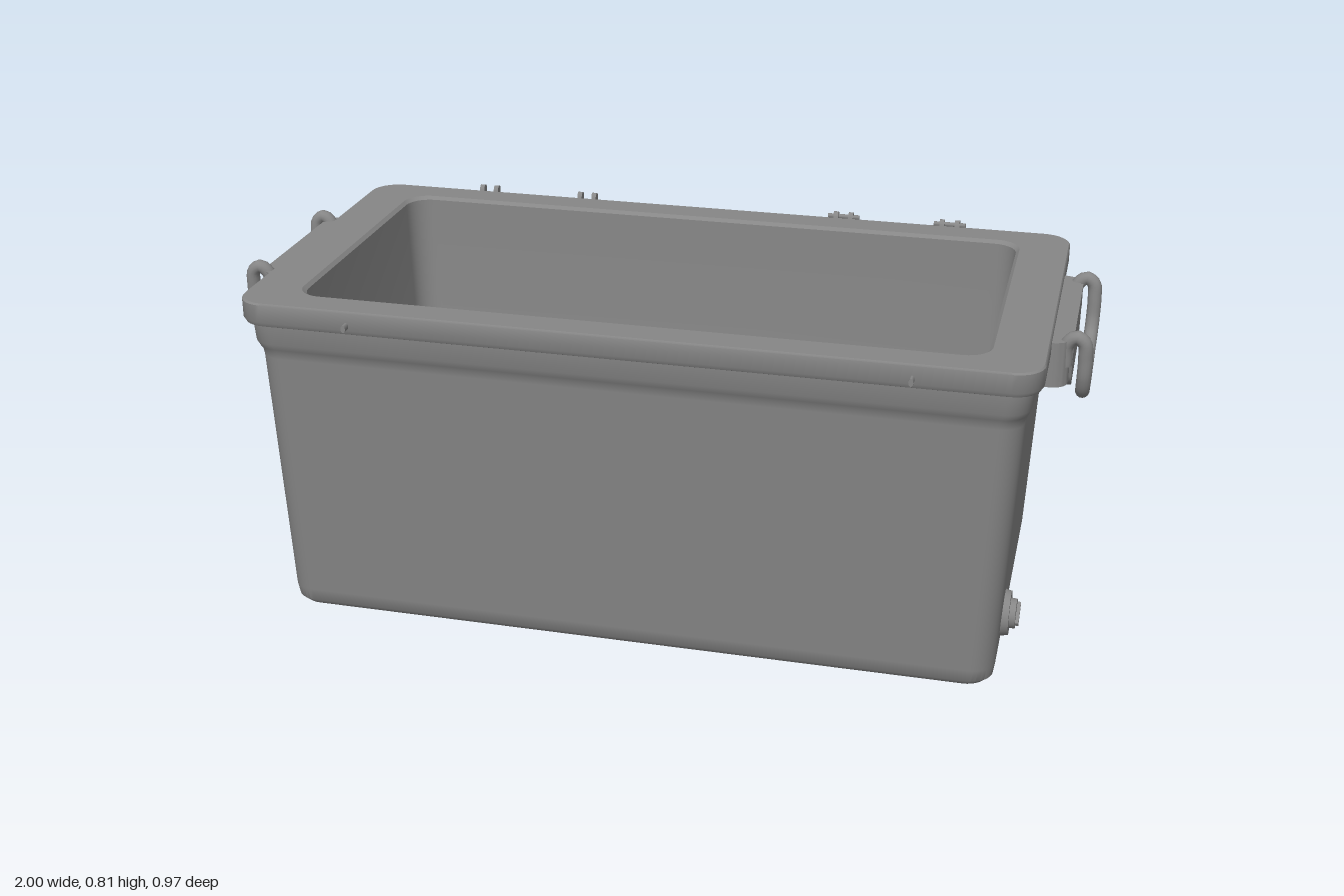
import * as THREE from 'three';
import { toCreasedNormals } from 'three/addons/utils/BufferGeometryUtils.js';

const material = new THREE.MeshStandardMaterial({ color: 0x868686 });

function mesh(name, geometry, parent, x = 0, y = 0, z = 0) {
  const m = new THREE.Mesh(geometry, material);
  m.name = name;
  m.position.set(x, y, z);
  parent.add(m);
  return m;
}

// Points of a rounded rectangle at one height
function ring([y, hx, hz, r], steps = 8) {
  const points = [];
  for (let corner = 0; corner < 4; corner++) {
    const sx = corner === 0 || corner === 3 ? 1 : -1;
    const sz = corner < 2 ? 1 : -1;
    for (let i = 0; i <= steps; i++) {
      const a = (corner + i / steps) * Math.PI / 2;
      points.push([sx * (hx - r) + r * Math.cos(a), y, sz * (hz - r) + r * Math.sin(a)]);
    }
  }
  return points;
}

// Skin through the rings, closed by a fan at both ends
function loft(sections) {
  const rings = sections.map((s) => ring(s));
  const n = rings[0].length;
  const centre = (y) => Array.from({ length: n }, () => [0, y, 0]);
  rings.unshift(centre(sections[0][0]));
  rings.push(centre(sections[sections.length - 1][0]));
  const index = [];
  for (let i = 0; i < rings.length - 1; i++) {
    for (let j = 0; j < n; j++) {
      const a = i * n + j, b = i * n + (j + 1) % n;
      if (i > 0) index.push(a, a + n, b);
      if (i < rings.length - 2) index.push(b, a + n, b + n);
    }
  }
  const g = new THREE.BufferGeometry();
  g.setAttribute('position', new THREE.Float32BufferAttribute(rings.flat(2), 3));
  g.setIndex(index);
  return toCreasedNormals(g, 0.65);
}

// Cylinder lying along x
function disc(r1, r2, length, sides = 40) {
  return new THREE.CylinderGeometry(r1, r2, length, sides).rotateZ(-Math.PI / 2);
}

function carryHandle() {
  const group = new THREE.Group();
  group.name = 'carryHandle';
  // Mounting block with rounded outer corners, seen in plan
  const plan = new THREE.Shape();
  plan.moveTo(0.86, -0.22);
  plan.lineTo(0.915, -0.22);
  plan.quadraticCurveTo(0.95, -0.215, 0.95, -0.18);
  plan.lineTo(0.95, 0.18);
  plan.quadraticCurveTo(0.95, 0.215, 0.915, 0.22);
  plan.lineTo(0.86, 0.22);
  const block = new THREE.ExtrudeGeometry(plan, { depth: 0.105, bevelEnabled: false, curveSegments: 8 });
  block.rotateX(-Math.PI / 2);
  mesh('handleBracket', toCreasedNormals(block, 0.5), group, 0, 0.675, 0);
  // Thin plate hanging in front of the block, inside the bar
  const outline = new THREE.Shape();
  outline.moveTo(-0.17, 0.78);
  outline.lineTo(-0.165, 0.69);
  outline.quadraticCurveTo(-0.155, 0.65, -0.115, 0.645);
  outline.lineTo(0.115, 0.645);
  outline.quadraticCurveTo(0.155, 0.65, 0.165, 0.69);
  outline.lineTo(0.17, 0.78);
  const plate = new THREE.ExtrudeGeometry(outline, { depth: 0.018, bevelEnabled: false, curveSegments: 8 });
  plate.rotateY(Math.PI / 2);
  mesh('handlePlate', toCreasedNormals(plate, 0.5), group, 0.938, 0, 0);
  // Bent bar: hooks over the block, drops and crosses
  const half = [
    [0.94, 0.72, 0.19], [0.942, 0.77, 0.192], [0.962, 0.788, 0.194], [0.98, 0.775, 0.194],
    [0.984, 0.74, 0.192], [0.984, 0.69, 0.187], [0.983, 0.657, 0.17], [0.982, 0.638, 0.13],
    [0.982, 0.631, 0.08],
  ];
  const other = half.map(([x, y, z]) => [x, y, -z]).reverse();
  const path = new THREE.CatmullRomCurve3(
    [...half, [0.982, 0.629, 0], ...other].map((p) => new THREE.Vector3(...p)));
  mesh('handleBar', new THREE.TubeGeometry(path, 90, 0.016, 14), group);
  return group;
}

function drainPlug() {
  const group = new THREE.Group();
  group.name = 'drainPlug';
  mesh('flange', disc(0.051, 0.056, 0.026), group, 0.004, 0, 0);
  mesh('plug', disc(0.034, 0.037, 0.034), group, 0.014, 0, 0);
  const grip = mesh('plugGrip', new THREE.BoxGeometry(0.014, 0.011, 0.058), group, 0.032, 0, 0);
  grip.rotation.x = 0.53;
  return group;
}

// Hook-shaped lug, outline drawn from the side
function hingeLug() {
  const s = new THREE.Shape();
  s.moveTo(0.44, 0.755);
  s.lineTo(0.466, 0.755);
  s.quadraticCurveTo(0.492, 0.765, 0.492, 0.798);
  s.absarc(0.481, 0.798, 0.011, 0, Math.PI);
  s.quadraticCurveTo(0.468, 0.785, 0.455, 0.785);
  s.lineTo(0.44, 0.785);
  const g = new THREE.ExtrudeGeometry(s, { depth: 0.012, bevelEnabled: false, curveSegments: 8 });
  return toCreasedNormals(g.translate(0, 0, -0.006).rotateY(Math.PI / 2), 0.6);
}

export function createModel() {
  const model = new THREE.Group();
  model.name = 'coolBox';
  const box = new THREE.Group();
  box.name = 'box';
  box.position.z = 0.0065;
  model.add(box);

  // Tub: underside, outer wall, rim, inner wall, floor
  mesh('tub', loft([
    [0, 0.81, 0.38, 0.04],
    [0.006, 0.832, 0.402, 0.05],
    [0.02, 0.845, 0.414, 0.055],
    [0.05, 0.849, 0.418, 0.055],
    [0.655, 0.876, 0.43, 0.055],
    [0.67, 0.878, 0.432, 0.055],
    [0.68, 0.882, 0.437, 0.055],
    [0.695, 0.887, 0.443, 0.055],
    [0.74, 0.89, 0.446, 0.055],
    [0.744, 0.904, 0.455, 0.06],
    [0.754, 0.91, 0.46, 0.065],
    [0.796, 0.91, 0.46, 0.065],
    [0.8, 0.907, 0.457, 0.065],
    [0.8, 0.793, 0.384, 0.06],
    [0.792, 0.785, 0.376, 0.058],
    [0.12, 0.757, 0.362, 0.055],
    [0.1, 0.752, 0.358, 0.055],
    [0.09, 0.742, 0.349, 0.05],
  ]), box);

  // Handles and drains at both ends
  for (const side of [1, -1]) {
    const turn = side > 0 ? 0 : Math.PI;
    const handle = carryHandle();
    handle.rotation.y = turn;
    box.add(handle);
    const drain = drainPlug();
    drain.position.set(side * 0.852, 0.133, 0.278);
    // Turned about its own upright axis, so the grip slopes alike seen end on
    drain.rotation.y = turn;
    box.add(drain);
    mesh('drainInlet', disc(0.036, 0.036, 0.02, 32), box, side * 0.755, 0.14, 0.278);
    // Latch pin on the front of the rim
    const pin = mesh('latchPin', new THREE.CylinderGeometry(0.009, 0.009, 0.04, 16), box, side * 0.637, 0.765, 0.459);
    pin.rotation.x = Math.PI / 2;
    pin.scale.x = 0.6;
  }

  // Hinge lugs in pairs along the back; one half carries pins
  for (const x of [-0.61, -0.342, 0.336, 0.606]) {
    for (const s of [1, -1]) mesh('hingeLug', hingeLug(), box, x + s * 0.019, 0, 0);
    if (x > 0) mesh('hingePin', disc(0.006, 0.006, 0.08, 12), box, x, 0.797, -0.481);
  }
  return model;
}
